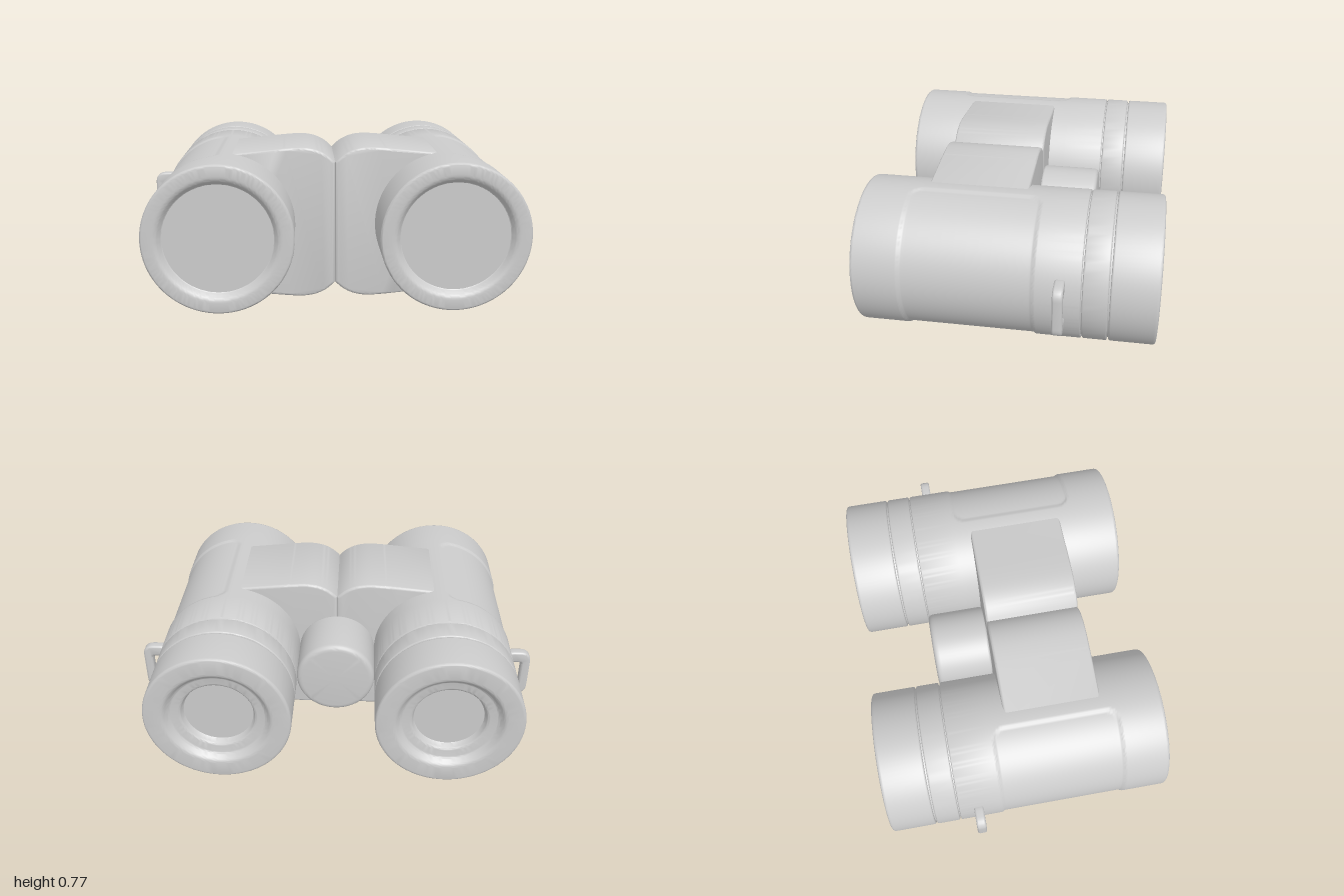
import * as THREE from 'three';
import { toCreasedNormals } from 'three/addons/utils/BufferGeometryUtils.js';

const AXIS_Y = 0.385, BARREL_X = 0.56, R = 0.36;
const material = new THREE.MeshStandardMaterial({ color: 0xcccccc, roughness: 0.7 });

function mesh(name, geometry, crease = 0.6) {
  const m = new THREE.Mesh(toCreasedNormals(geometry, crease), material);
  m.name = name;
  return m;
}

// Profile corners [radius, z, rounding] listed from back to front -> solid turned about z
function turned(corners, segments = 96) {
  const pts = [];
  corners.forEach(([r, z, round = 0], i) => {
    const p = new THREE.Vector2(r, z);
    if (!round) return pts.push(p);
    const towards = ([qr, qz]) => {
      const d = new THREE.Vector2(qr - r, qz - z);
      return p.clone().add(d.setLength(Math.min(round, d.length() / 2)));
    };
    const arc = new THREE.QuadraticBezierCurve(towards(corners[i - 1]), p, towards(corners[i + 1]));
    pts.push(...arc.getPoints(5));
  });
  return new THREE.LatheGeometry(pts, segments).rotateX(Math.PI / 2);
}

// Main tube with a shallow rounded-rectangle grip panel pressed into its outer side
function tubeGeometry() {
  const z0 = -0.14, z1 = 0.48, halfArc = 0.55, corner = 0.06, depth = 0.008;
  const rows = [];
  for (let i = 0; i <= 13; i++) rows.push([R, z0 - 0.015 + i * 0.007]);
  for (let i = 1; i < 8; i++) rows.push([R, THREE.MathUtils.lerp(-0.064, 0.404, i / 8)]);
  for (let i = 0; i <= 13; i++) rows.push([R, z1 - 0.076 + i * 0.007]);
  const geo = turned([
    [0.3, -0.362], [R, -0.362, 0.01], ...rows,
    [R, 0.711, 0.016], [0.285, 0.711, 0.022], [0.262, 0.675, 0.008], [0.25, 0.675],
  ], 200);
  const pos = geo.attributes.position;
  const zMid = (z0 + z1) / 2, zHalf = (z1 - z0) / 2;
  for (let i = 0; i < pos.count; i++) {
    const x = pos.getX(i), y = pos.getY(i), z = pos.getZ(i);
    const r = Math.hypot(x, y);
    if (r < R - 0.001) continue;
    const dx = Math.abs(z - zMid) - zHalf + corner;
    const dy = Math.abs(Math.atan2(y, x)) * R - halfArc + corner;
    const dist = Math.hypot(Math.max(dx, 0), Math.max(dy, 0)) + Math.min(Math.max(dx, dy), 0) - corner;
    const s = (R - depth * THREE.MathUtils.smoothstep(-dist, -0.006, 0.008)) / R;
    pos.setXY(i, x * s, y * s);
  }
  return geo;
}

// Closed rounded rectangle, used for the strap lug and its opening
function roundedRect(target, x0, y0, x1, y1, r) {
  target.moveTo(x0 + r, y0);
  target.lineTo(x1 - r, y0).quadraticCurveTo(x1, y0, x1, y0 + r);
  target.lineTo(x1, y1 - r).quadraticCurveTo(x1, y1, x1 - r, y1);
  target.lineTo(x0 + r, y1).quadraticCurveTo(x0, y1, x0, y1 - r);
  target.lineTo(x0, y0 + r).quadraticCurveTo(x0, y0, x0 + r, y0);
  return target;
}

function strapLug() {
  const b = 0.01;
  const shape = roundedRect(new THREE.Shape(), 0.86 + b, -0.13 + b, 1 - b, 0.13 - b, 0.045);
  shape.holes.push(roundedRect(new THREE.Path(), 0.89 - b, -0.07 - b, 0.955 + b, 0.07 + b, 0.02));
  const geo = new THREE.ExtrudeGeometry(shape, {
    depth: 0.028, bevelThickness: b, bevelSize: b, bevelSegments: 3, curveSegments: 8,
  });
  return geo.translate(0, 0, -0.279);
}

// Half of the hinge bridge: full height near the middle, tapering onto the barrel
function bridgeHalf() {
  const b = 0.014, top = 0.385 - b;
  const shape = new THREE.Shape();
  shape.moveTo(b, -0.305);
  shape.bezierCurveTo(0.05, -0.345, 0.1, -top, 0.17, -top);
  shape.bezierCurveTo(0.21, -top, 0.25, -top + 0.004, 0.3, -top + 0.009);
  shape.lineTo(0.52, -0.34);
  shape.lineTo(0.52, 0.34);
  shape.lineTo(0.3, top - 0.009);
  shape.bezierCurveTo(0.25, top - 0.004, 0.21, top, 0.17, top);
  shape.bezierCurveTo(0.1, top, 0.05, 0.345, b, 0.305);
  shape.closePath();
  const geo = new THREE.ExtrudeGeometry(shape, {
    depth: 0.485 - 2 * b, bevelThickness: b, bevelSize: b, bevelSegments: 4, curveSegments: 14,
  });
  return geo.translate(0, 0, -0.07 + b);
}

function createHalf(name) {
  const half = new THREE.Group();
  half.name = name;
  const barrel = new THREE.Group();
  barrel.name = 'barrel';
  barrel.position.x = BARREL_X;

  barrel.add(mesh('mainTube', tubeGeometry(), 0.8));
  barrel.add(mesh('objectiveLens', turned([[0, 0.677], [0.266, 0.677]].reverse())));
  barrel.add(mesh('grooveCore', turned([[0.345, -0.52], [0.345, -0.34]])));
  barrel.add(mesh('adjustmentRing', turned([
    [0.3, -0.485], [R, -0.485, 0.01], [R, -0.367, 0.01], [0.3, -0.367],
  ])));
  // Eyecup with a stepped, dished opening
  barrel.add(mesh('eyecup', turned([
    [0.16, -0.64], [0.17, -0.64, 0.006], [0.182, -0.675, 0.012], [0.235, -0.68, 0.01],
    [0.262, -0.714, 0.016], [R, -0.714, 0.016], [R, -0.492, 0.01], [0.3, -0.492],
  ])));
  barrel.add(mesh('eyepieceLens', turned([[0, -0.642], [0.175, -0.642]])));

  half.add(barrel, mesh('strapLug', strapLug()), mesh('bridge', bridgeHalf()));
  return half;
}

export function createModel() {
  const model = new THREE.Group();
  model.name = 'binoculars';

  // The two halves are the same, turned half way round the centre line
  ['leftHalf', 'rightHalf'].forEach((name, i) => {
    const half = createHalf(name);
    half.position.y = AXIS_Y;
    half.rotation.z = i * Math.PI;
    model.add(half);
  });

  const wheel = mesh('focusWheel', turned([
    [0, -0.365], [0.2, -0.365, 0.03], [0.2, -0.07, 0.012], [0, -0.07],
  ], 64));
  wheel.position.y = AXIS_Y;
  model.add(wheel);
  return model;
}
